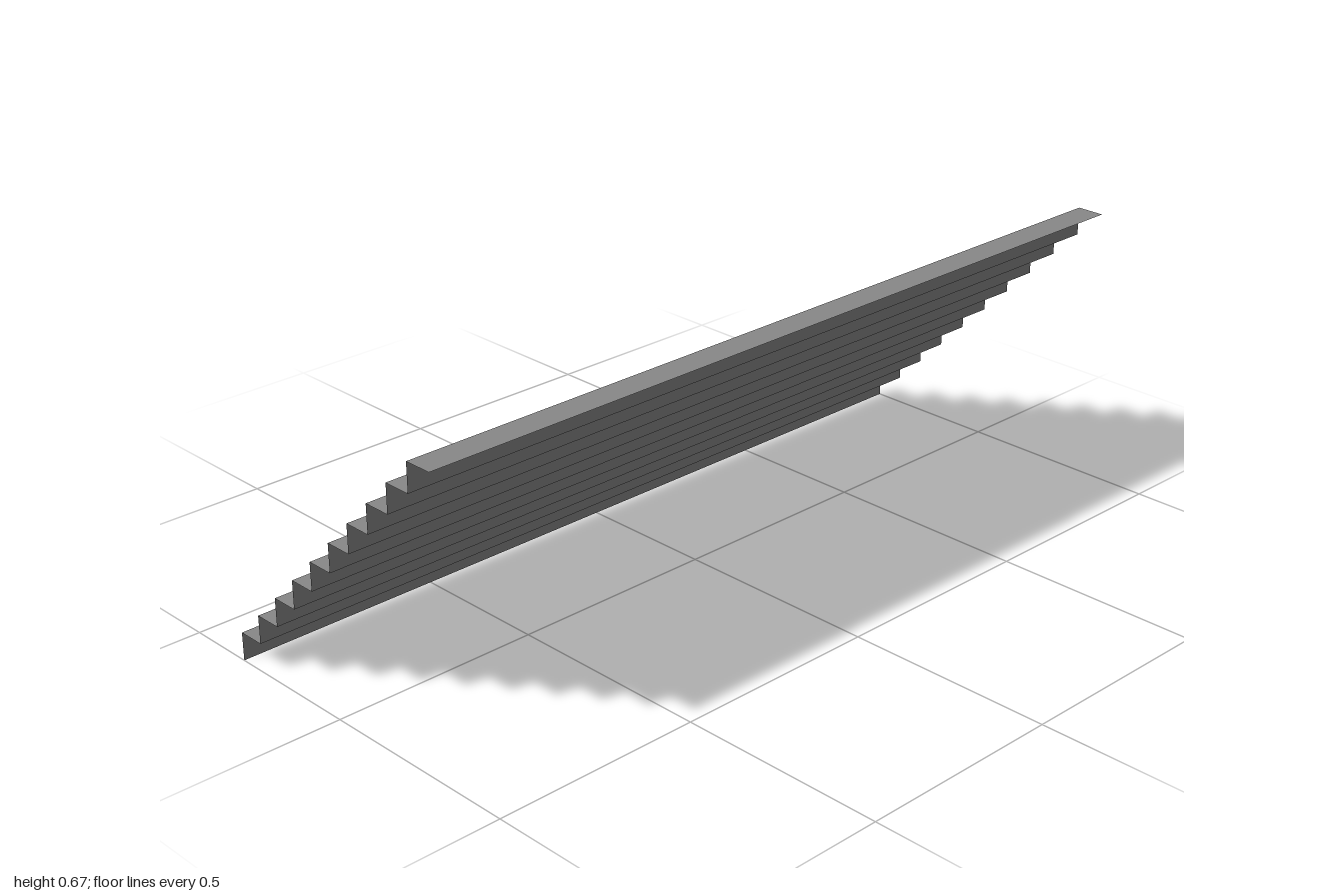
import * as THREE from 'three';

const STEPS = 10;
const WIDTH = 2;
const SIZE = 2 / 30; // rise and run of one step

export function createModel() {
  const stairs = new THREE.Group();
  stairs.name = 'staircase';
  const grey = new THREE.MeshStandardMaterial({ color: 0x888888, side: THREE.DoubleSide });
  grey.name = 'grey';

  // Open, paper-thin sheets: risers face the back, treads face up
  const riserGeometry = new THREE.PlaneGeometry(WIDTH, SIZE).rotateY(Math.PI);
  const treadGeometry = new THREE.PlaneGeometry(WIDTH, SIZE).rotateX(-Math.PI / 2);

  const addPart = (name, geometry, y, z) => {
    const mesh = new THREE.Mesh(geometry, grey);
    mesh.name = name;
    mesh.position.set(0, y, z);
    stairs.add(mesh);
  };

  // The flight climbs from the back towards the front
  const back = -STEPS * SIZE / 2;
  for (let i = 0; i < STEPS; i++) {
    addPart(`riser${i + 1}`, riserGeometry, (i + 0.5) * SIZE, back + i * SIZE);
    addPart(`tread${i + 1}`, treadGeometry, (i + 1) * SIZE, back + (i + 0.5) * SIZE);
  }
  return stairs;
}
